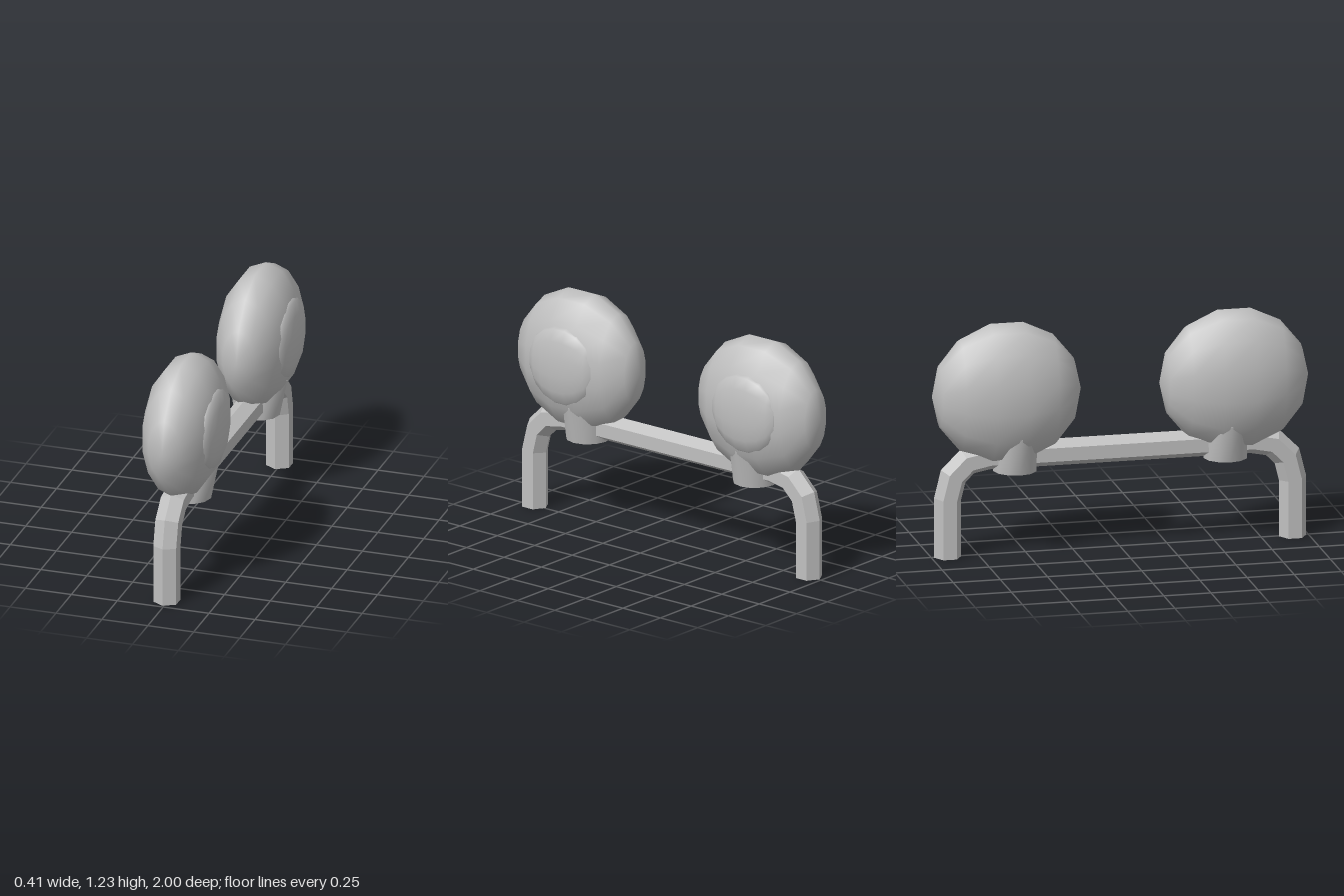
import * as THREE from 'three';

export function createModel() {
  const root = new THREE.Group();
  const grey = new THREE.MeshStandardMaterial({ color: 0xc0c0c0 });
  grey.name = 'plain grey';
  const CX = -0.008;

  const add = (name, geometry, parent = root) => {
    const mesh = new THREE.Mesh(geometry, grey);
    mesh.name = name;
    parent.add(mesh);
    return mesh;
  };

  // Coarse smooth ball with its poles on z, stretched into an ellipsoid
  const ellipsoid = (rx, ry, rz, around, rings) =>
    new THREE.SphereGeometry(1, around, rings).rotateY(Math.PI / 2).rotateX(Math.PI / 2).scale(rx, ry, rz);

  // Hexagonal bar swept along a mitred path of [z, y] points
  const hexBar = (points, r) => {
    const path = points.map(([z, y]) => new THREE.Vector2(z, y));
    const rings = path.map((p, i) => {
      const a = path[Math.max(i - 1, 0)], b = path[Math.min(i + 1, path.length - 1)];
      const d0 = p.clone().sub(a).normalize(), d1 = b.clone().sub(p).normalize();
      const t = d0.clone().add(d1).normalize();
      const ends = i === 0 || i === path.length - 1;
      const mitre = ends ? 1 : 1 / t.dot(d1);
      const ring = [];
      for (let k = 0; k < 6; k++) {
        const ang = k * Math.PI / 3, n = r * Math.cos(ang) * mitre;
        ring.push([CX + r * Math.sin(ang), p.y + t.x * n, p.x - t.y * n]);
      }
      return ring;
    });
    const pos = [];
    const tri = (a, b, c) => pos.push(...a, ...b, ...c);
    for (let i = 0; i < rings.length - 1; i++) {
      for (let k = 0; k < 6; k++) {
        const j = (k + 1) % 6, A = rings[i], B = rings[i + 1];
        tri(A[k], B[k], B[j]);
        tri(A[k], B[j], A[j]);
      }
    }
    // End caps
    const first = rings[0], last = rings[rings.length - 1];
    for (let k = 1; k < 5; k++) {
      tri(first[0], first[k], first[k + 1]);
      tri(last[0], last[k + 1], last[k]);
    }
    const g = new THREE.BufferGeometry();
    g.setAttribute('position', new THREE.Float32BufferAttribute(pos, 3));
    // Orient the surface outwards
    const P = g.attributes.position, a = new THREE.Vector3(), b = new THREE.Vector3(), c = new THREE.Vector3();
    let volume = 0;
    for (let i = 0; i < P.count; i += 3) {
      a.fromBufferAttribute(P, i); b.fromBufferAttribute(P, i + 1); c.fromBufferAttribute(P, i + 2);
      volume += a.dot(b.cross(c));
    }
    if (volume < 0) {
      g.setIndex(Array.from({ length: P.count }, (_, i) => P.count - 1 - i));
    }
    const flat = g.index ? g.toNonIndexed() : g;
    flat.computeVertexNormals();
    return flat;
  };

  // Bent support bar: leg, bend, straight run, bend, leg
  const half = [[-0.915, 0], [-0.915, 0.31], [-0.885, 0.43], [-0.81, 0.505], [-0.7, 0.527]];
  const other = half.map(([z, y]) => [-z, y]).reverse();
  add('supportBar', hexBar([...half, ...other], 0.072));

  for (const s of [1, -1]) {
    const seat = new THREE.Group();
    seat.name = s > 0 ? 'frontDisc' : 'backDisc';
    root.add(seat);

    // Large cushion disc
    add('discBody', ellipsoid(0.205, 0.382, 0.395, 14, 7), seat).position.set(CX, 0.862, s * 0.603);

    // Raised pad on the left face
    add('discPad', ellipsoid(0.064, 0.222, 0.216, 14, 9), seat).position.set(0.141, 0.865, s * 0.61);

    // Socket clamping the disc to the bar, flaring sideways towards the top
    const h = 0.2;
    const socket = new THREE.CylinderGeometry(0.116, 0.116, h, 12);
    const p = socket.attributes.position;
    for (let i = 0; i < p.count; i++) {
      p.setX(i, p.getX(i) * (1.04 + 0.36 * (p.getY(i) / h + 0.5)));
    }
    socket.computeVertexNormals();
    add('socket', socket, seat).position.set(CX, 0.445 + h / 2, s * 0.558);
  }
  return root;
}
